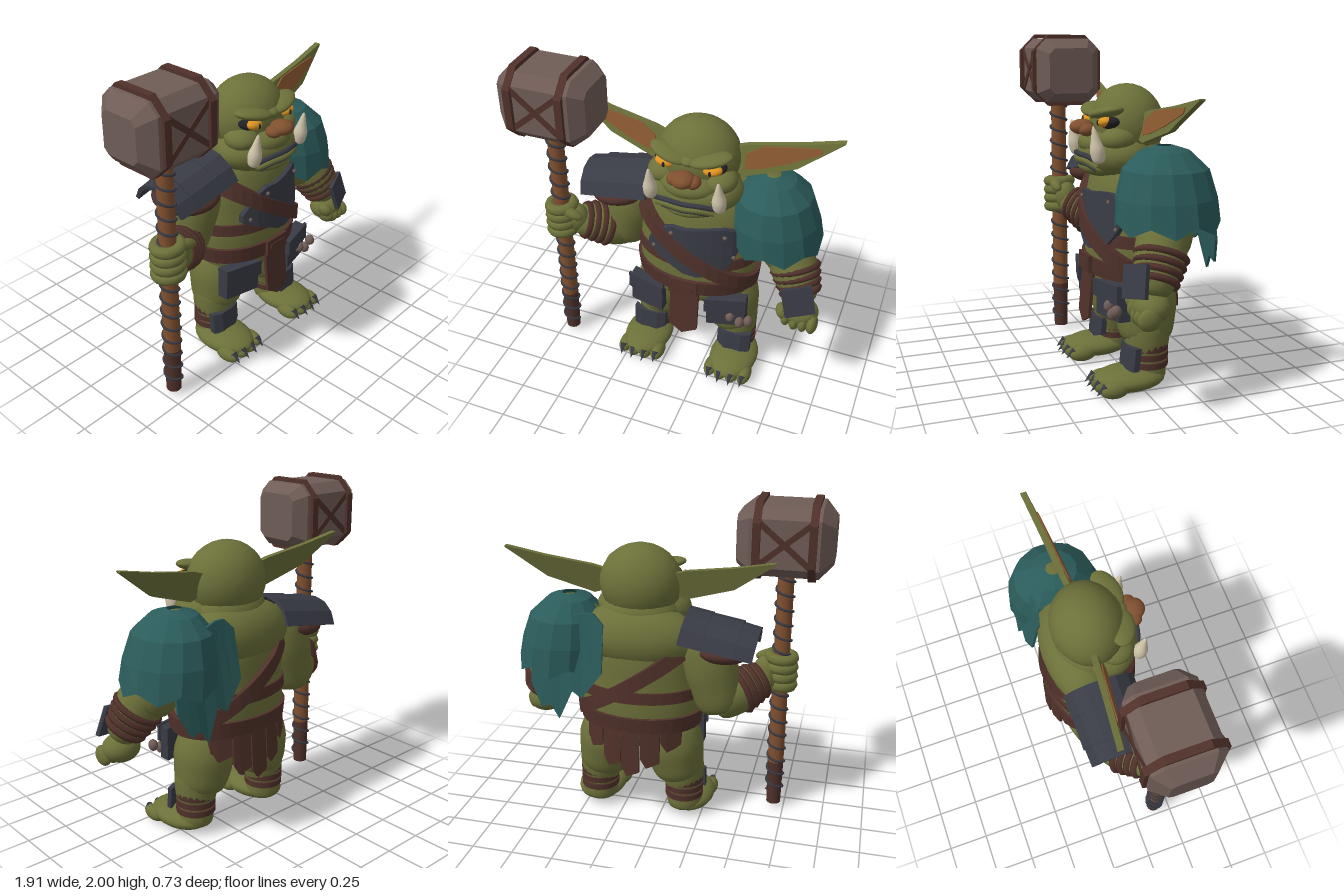
import * as THREE from 'three';

const mat = (name, color, side = THREE.FrontSide) => {
  const m = new THREE.MeshStandardMaterial({ color, side });
  m.name = name;
  return m;
};
const V = (x, y, z) => new THREE.Vector3(x, y, z);
const C = 0.14; // body midline in x

// Torso silhouette: [height, radius]; depth is squashed
const PROFILE = [[0.46, 0.05], [0.5, 0.22], [0.57, 0.33], [0.66, 0.36], [0.8, 0.37], [0.95, 0.36],
  [1.1, 0.35], [1.22, 0.31], [1.33, 0.22], [1.42, 0.1]];
const DEPTH = 0.68, MIDZ = -0.04;
function torsoR(y) {
  for (let i = 1; i < PROFILE.length; i++) {
    const [y0, r0] = PROFILE[i - 1], [y1, r1] = PROFILE[i];
    if (y <= y1) return THREE.MathUtils.lerp(r0, r1, Math.max(0, (y - y0) / (y1 - y0)));
  }
  return 0.1;
}
const torsoZ = (x, y) => MIDZ + DEPTH * Math.sqrt(Math.max(0, torsoR(y) ** 2 - (x - C) ** 2));

// Flat-shaded skin over a row of equal rings, capped unless the row closes on itself
function loft(rings, closed) {
  const n = rings[0].length, idx = [], count = rings.length;
  for (let i = 0; i < (closed ? count : count - 1); i++)
    for (let j = 0; j < n; j++) {
      const k = ((i + 1) % count) * n, a = i * n + j, b = k + j, c = k + (j + 1) % n, d = i * n + (j + 1) % n;
      idx.push(a, b, d, c, d, b);
    }
  if (!closed)
    for (let j = 1; j < n - 1; j++) {
      const e = (count - 1) * n;
      idx.push(0, j, j + 1, e, e + j + 1, e + j);
    }
  let g = new THREE.BufferGeometry().setFromPoints(rings.flat());
  g.setIndex(idx);
  g = g.toNonIndexed();
  g.computeVertexNormals();
  return g;
}

export function createModel() {
  const root = new THREE.Group();
  root.name = 'ogreWithHammer';
  const skin = mat('skin', 0x6c7039), iron = mat('iron', 0x393b45), leather = mat('leather', 0x50312a, THREE.DoubleSide),
    teal = mat('tealCloth', 0x2b5c5b, THREE.DoubleSide), stone = mat('stone', 0x6f5c56), wood = mat('wood', 0x80502f),
    earInside = mat('earInside', 0x8a5831), ivory = mat('ivory', 0xcfc4aa), amber = mat('amber', 0xdc9420), black = mat('black', 0x222226);

  const add = (name, geo, m, p = [0, 0, 0], r = [0, 0, 0], parent = root) => {
    const o = new THREE.Mesh(geo, m);
    o.name = name;
    o.position.set(...p);
    o.rotation.set(...r);
    parent.add(o);
    return o;
  };
  const ball = (name, m, p, s, r) => add(name, new THREE.SphereGeometry(1, 24, 16), m, p, r).scale.set(...s);
  const box = (name, m, p, s, r) => add(name, new THREE.BoxGeometry(...s), m, p, r);
  const tube = (name, m, pts, r, seg = 24) =>
    add(name, new THREE.TubeGeometry(new THREE.CatmullRomCurve3(pts.map((p) => V(...p))), seg, r, 6), m);
  const aim = (o, a, b) => o.quaternion.setFromUnitVectors(V(0, 1, 0), V(...b).sub(V(...a)).normalize());
  // Rounded limb from a to b with radii spaced along it
  const limb = (name, m, a, b, radii) => {
    const L = V(...a).distanceTo(V(...b)), n = radii.length;
    const prof = [[0, 0], ...radii.map((r, i) => [r, L * (0.07 + 0.86 * i / (n - 1))]), [0, L]];
    const pts = new THREE.SplineCurve(prof.map((p) => new THREE.Vector2(...p))).getPoints(24);
    pts.forEach((p) => { p.x = Math.max(0, p.x); });
    aim(add(name, new THREE.LatheGeometry(pts, 20), m, a), a, b);
  };
  // Wrapped ring around the line a-b at fraction t
  const wrap = (name, m, a, b, t, r, w) => {
    const g = new THREE.TorusGeometry(r, w, 6, 20).rotateX(Math.PI / 2);
    aim(add(name, g, m, V(...a).lerp(V(...b), t).toArray()), a, b);
  };
  // Bent plate from columns [x, low, high]; zf gives its front face
  const panel = (name, m, cols, zf, t = 0.02) => {
    const rings = [...cols].sort((p, q) => p[0] - q[0]).map(([x, lo, hi]) =>
      [V(x, lo, zf(x, lo)), V(x, hi, zf(x, hi)), V(x, hi, zf(x, hi) - t), V(x, lo, zf(x, lo) - t)]);
    return add(name, loft(rings, false), m);
  };
  // Strap around the torso whose height and lift follow the angle
  const strap = (name, yf, h, lift) => {
    const rings = [];
    for (let i = 0; i < 36; i++) {
      const a = i / 36 * Math.PI * 2, y = yf(a), off = lift(a);
      const at = (yy, o) => {
        const r = torsoR(yy);
        return V(C + (r + o) * Math.sin(a), yy, MIDZ + (r * DEPTH + o) * Math.cos(a));
      };
      rings.push([at(y - h / 2, off), at(y + h / 2, off), at(y + h / 2, -0.02), at(y - h / 2, -0.02)]);
    }
    add(name, loft(rings, true), leather);
  };

  // Torso
  const body = new THREE.SplineCurve(PROFILE.map(([y, r]) => new THREE.Vector2(r, y))).getPoints(36);
  add('torso', new THREE.LatheGeometry(body, 32), skin, [C, 0, MIDZ]).scale.z = DEPTH;
  ball('upperBack', skin, [C, 1.2, -0.11], [0.37, 0.2, 0.19]);
  ball('neck', skin, [C, 1.32, -0.05], [0.24, 0.16, 0.18]);

  // Straps, belt and chest plate
  strap('waistStrap', () => 0.87, 0.07, () => 0.014);
  strap('sash', (a) => 0.95 - 0.25 * Math.sin(a), 0.1, (a) => 0.032 + 0.018 * Math.max(0, Math.cos(a)));
  strap('belt', () => 0.69, 0.1, () => 0.022);
  box('buckle', leather, [C, 0.7, 0.235], [0.18, 0.1, 0.02]);
  box('buckleBar', leather, [C, 0.7, 0.246], [0.13, 0.04, 0.008]);
  panel('chestPlate', iron, [[-0.1, 0.92, 0.97], [-0.01, 0.88, 1.09], [0.06, 0.85, 1.12], [0.14, 0.81, 1.12],
    [0.22, 0.8, 1.13], [0.3, 0.81, 1.14], [0.36, 0.83, 1.14], [0.41, 0.9, 1.12], [0.46, 1.02, 1.05]],
  (x, y) => torsoZ(x, y) + 0.033, 0.045);
  for (const [x, y] of [[-0.06, 0.94], [0.06, 1.08], [0.37, 1.09], [0.42, 0.94]])
    ball('rivet', stone, [x, y, torsoZ(x, y) + 0.034], [0.013, 0.013, 0.01]);

  // Loincloth in front, ragged strips behind
  panel('frontLoincloth', leather, [[0.055, 0.39, 0.66], [0.14, 0.335, 0.66], [0.235, 0.385, 0.66]],
    (x, y) => 0.225 + (0.66 - y) * 0.1);
  for (let i = -2; i <= 2; i++) {
    const x = C + i * 0.118, lo = [0.52, 0.42, 0.36, 0.41, 0.5][i + 2];
    panel('backSkirtStrip', leather, [[x - 0.055, lo + 0.03, 0.66], [x + 0.02, lo, 0.66], [x + 0.055, lo + 0.06, 0.66]],
      (px, y) => MIDZ - DEPTH * Math.sqrt(0.36 ** 2 - (px - C) ** 2) - (0.66 - y) * 0.07, 0.018);
  }

  // Legs, shin guards, feet and belt pouches
  for (const s of [-1, 1]) {
    const X = (d) => C + s * d;
    limb('thigh', skin, [X(0.18), 0.68, -0.065], [X(0.25), 0.25, -0.05], [0.13, 0.18, 0.173, 0.135]);
    limb('shin', skin, [X(0.26), 0.42, -0.05], [X(0.285), 0.03, -0.04], [0.12, 0.13, 0.11, 0.105]);
    for (const y of [0.15, 0.2, 0.25])
      add('shinWrap', new THREE.CylinderGeometry(0.119, 0.119, 0.036, 20), leather, [X(0.278), y, -0.05]);
    panel('shinGuard', iron, [[X(0.18), 0.16, 0.265], [X(0.23), 0.14, 0.27], [X(0.34), 0.13, 0.27], [X(0.395), 0.135, 0.27]],
      (x, y) => 0.11 - 3 * (Math.abs(x - C) - 0.285) ** 2 - 0.1 * (y - 0.2), 0.035);
    ball('foot', skin, [X(0.296), 0.072, 0.07], [0.152, 0.072, 0.215]);
    for (let i = 0; i < 4; i++) {
      const d = 0.186 + i * 0.073, z = 0.215 - 0.012 * Math.abs(i - 1.5);
      ball('toe', skin, [X(d), 0.05, z], [0.044, 0.047, 0.085]);
      add('claw', new THREE.ConeGeometry(0.022, 0.075, 8), iron, [X(d), 0.055, z + 0.08], [Math.PI / 2 + 0.7, 0, 0]);
    }
    const front = (x) => 0.25 - 0.24 * Math.abs(x - C);
    panel('pouch', iron, [[X(0.145), 0.43, 0.63], [X(0.37), 0.43, 0.635]], front, 0.07);
    panel('pouchFlap', iron, [[X(0.135), 0.54, 0.635], [X(0.25), 0.525, 0.64], [X(0.38), 0.54, 0.645]], (x) => front(x) + 0.018, 0.02);
  }
  for (const [x, y] of [[0.43, 0.51], [0.49, 0.48], [0.545, 0.51]])
    ball('trinket', stone, [x, y, 0.19], [0.028, 0.036, 0.032]);

  // Head
  ball('skull', skin, [C, 1.5, -0.02], [0.245, 0.232, 0.213]);
  ball('jaw', skin, [C, 1.335, 0.05], [0.288, 0.145, 0.21]);
  ball('muzzle', skin, [C, 1.4, 0.12], [0.18, 0.085, 0.145]);
  ball('chin', skin, [C, 1.265, 0.12], [0.18, 0.06, 0.145]);
  const mouth = (name, m, y, z, w, r) => tube(name, m, [[C - w, y - 0.03, z - 0.055], [C - w * 0.55, y - 0.002, z - 0.014],
    [C, y, z], [C + w * 0.55, y - 0.002, z - 0.014], [C + w, y - 0.03, z - 0.055]], r);
  mouth('mouth', iron, 1.337, 0.266, 0.18, 0.016);
  mouth('lowerLip', skin, 1.307, 0.268, 0.17, 0.018);
  mouth('lipCrease', iron, 1.283, 0.264, 0.14, 0.008);
  ball('nose', wood, [C, 1.492, 0.25], [0.068, 0.044, 0.07]);
  ball('browRidge', skin, [C, 1.56, 0.13], [0.06, 0.035, 0.08]);
  for (const s of [-1, 1]) {
    const X = (d) => C + s * d;
    ball('nostrilWing', wood, [X(0.055), 1.478, 0.235], [0.044, 0.036, 0.05]);
    ball('cheek', skin, [X(0.165), 1.43, 0.09], [0.1, 0.07, 0.105]);
    ball('eyeSocket', black, [X(0.14), 1.523, 0.125], [0.071, 0.036, 0.063], [0, 0, s * 0.15]);
    ball('eye', amber, [X(0.14), 1.527, 0.155], [0.058, 0.031, 0.047], [0, 0, s * 0.15]);
    ball('pupil', black, [X(0.135), 1.526, 0.197], [0.009, 0.016, 0.01]);
    ball('brow', skin, [X(0.12), 1.58, 0.14], [0.125, 0.033, 0.075], [0, s * 0.3, s * 0.2]);
    limb('tusk', ivory, [X(0.205), 1.305, 0.215], [X(0.203), 1.515, 0.25], [0.032, 0.041, 0.026, 0.01]);
    const earZ = (x, y) => -0.02 - 0.055 * (Math.abs(x - C) - 0.2) - 0.25 * (y - 1.5);
    panel('ear', skin, [[X(0.18), 1.45, 1.57], [X(0.28), 1.42, 1.6], [X(0.56), 1.51, 1.645], [X(0.795), 1.685, 1.695]], earZ, 0.035);
    panel('innerEar', earInside, [[X(0.27), 1.46, 1.55], [X(0.36), 1.48, 1.605], [X(0.5), 1.53, 1.625], [X(0.68), 1.615, 1.645]],
      (x, y) => earZ(x, y) + 0.008, 0.009);
  }

  // Right shoulder armour: three overlapping arched plates over a leather pad
  ball('shoulderPad', leather, [-0.355, 1.15, -0.04], [0.19, 0.078, 0.21], [0, 0, 0.08]);
  const pauldron = new THREE.Group();
  pauldron.name = 'pauldron';
  pauldron.position.set(-0.325, 1.12, -0.05);
  pauldron.rotation.z = 0.17;
  root.add(pauldron);
  [[-0.225, -0.1, 0.2, 0.207], [-0.12, 0.09, 0.215, 0.215], [0.07, 0.21, 0.22, 0.222]].forEach(([x0, x1, r0, r1]) => {
    const rings = [];
    for (let i = 0; i <= 6; i++) {
      const a = THREE.MathUtils.degToRad(-73 + 146 * i / 6);
      const at = (x, r) => V(x, r * Math.cos(a), r * Math.sin(a));
      rings.push([at(x0, r0), at(x1, r1), at(x1, r1 - 0.025), at(x0, r0 - 0.025)]);
    }
    add('pauldronPlate', loft(rings, false), iron, [0, 0, 0], [0, 0, 0], pauldron);
  });

  // Right arm and fist around the shaft
  const elbowR = [-0.35, 0.81, -0.08], wristR = [-0.63, 0.93, 0.13];
  limb('rightUpperArm', skin, [-0.22, 1.27, -0.06], [-0.37, 0.74, -0.07], [0.13, 0.165, 0.155, 0.12]);
  limb('rightForearm', skin, [-0.31, 0.8, -0.1], wristR, [0.11, 0.135, 0.12, 0.08]);
  [0.4, 0.52, 0.64, 0.76].forEach((t, i) => wrap('rightBracer', leather, elbowR, wristR, t, 0.13 - i * 0.01, 0.022));
  ball('rightPalm', skin, [-0.61, 0.95, 0.13], [0.09, 0.1, 0.07]);
  for (let i = 0; i < 4; i++)
    add('rightFinger', new THREE.TorusGeometry(0.072, 0.034, 8, 20).rotateX(Math.PI / 2), skin, [-0.685, 0.87 + i * 0.057, 0.15], [0, 0, 0.08]);
  ball('rightThumb', skin, [-0.6, 1.03, 0.2], [0.08, 0.032, 0.035], [0, 0, -0.3]);

  // Left arm, bracer and fist
  const elbowL = [0.725, 0.95, -0.02], wristL = [0.85, 0.67, 0.1];
  ball('leftShoulder', skin, [0.55, 1.24, -0.08], [0.2, 0.17, 0.18]);
  limb('leftUpperArm', skin, [0.52, 1.3, -0.08], [0.75, 0.84, -0.01], [0.13, 0.17, 0.165, 0.12]);
  limb('leftForearm', skin, [0.68, 1.03, -0.04], wristL, [0.12, 0.14, 0.125, 0.08]);
  [0.3, 0.44, 0.58, 0.72].forEach((t, i) => wrap('leftBracer', leather, elbowL, wristL, t, 0.134 - i * 0.008, 0.02));
  box('leftForearmPlate', iron, [0.832, 0.765, 0.188], [0.18, 0.18, 0.025], [-0.25, 0.3, 0.28]);
  ball('leftPalm', skin, [0.83, 0.62, 0.1], [0.115, 0.085, 0.1]);
  for (let i = 0; i < 4; i++)
    ball('leftFinger', skin, [0.765 + i * 0.052, 0.58 + (i === 0 ? 0.02 : 0), 0.145], [0.034, 0.06, 0.065]);
  ball('leftThumb', skin, [0.74, 0.64, 0.16], [0.035, 0.05, 0.05], [0, 0, 0.5]);

  // Shoulder cape with a ragged hem and a drape down the back
  const capeProfile = [[0.29, 1.0], [0.28, 1.15], [0.24, 1.3], [0.14, 1.395], [0.045, 1.425]].map((p) => new THREE.Vector2(...p));
  let cape = new THREE.LatheGeometry(capeProfile, 14);
  const cp = cape.attributes.position;
  for (let i = 0; i < cp.count; i++) {
    const y = cp.getY(i), col = Math.floor(i / 5);
    if (i % 5 === 0) cp.setY(i, y + (col % 2 ? -0.03 : 0.025));
    cp.setX(i, cp.getX(i) * 0.94 + (1.42 - y) * 0.11);
  }
  cape = cape.toNonIndexed();
  cape.computeVertexNormals();
  add('cape', cape, teal, [0.565, 0, -0.08]);
  panel('capeDrape', teal, [[0.3, 1.02, 1.3], [0.36, 0.94, 1.36], [0.42, 0.86, 1.36], [0.48, 0.9, 1.34], [0.56, 0.72, 1.3],
    [0.61, 0.8, 1.25], [0.67, 0.78, 1.2], [0.74, 0.92, 1.15]],
  (x, y) => -0.305 - (1.1 - y) * (y < 1.1 ? 0.1 : 0.25) + 1.2 * Math.max(0, x - 0.62) ** 2, 0.015);

  // Hammer shaft with spiral wire
  const hx = -0.685, hy = 1.78, hz = 0.14;
  add('shaft', new THREE.CylinderGeometry(0.048, 0.05, 1.3, 14), wood, [hx, 0.98, 0.15]);
  add('shaftFoot', new THREE.CylinderGeometry(0.05, 0.045, 0.3, 14), leather, [hx, 0.18, 0.15]);
  const coil = [];
  for (let i = 0; i <= 128; i++)
    coil.push([hx + 0.053 * Math.cos(i * Math.PI / 4), 0.1 + 1.46 * i / 128, 0.15 + 0.053 * Math.sin(i * Math.PI / 4)]);
  tube('shaftWire', iron, coil, 0.008, 300);

  // Hammer head: chamfered block with straps; k sets how much of each side stays flat
  const oct = (x, h, k) => [[1, -k], [1, k], [k, 1], [-k, 1], [-1, k], [-1, -k], [-k, -1], [k, -1]]
    .map(([z, y]) => V(x, hy + y * h, hz + z * h));
  add('hammerHead', loft([oct(-0.955, 0.12, 0.75), oct(-0.88, 0.198, 0.7), oct(-0.485, 0.198, 0.7), oct(-0.41, 0.14, 0.75)], false), stone);
  for (const x of [-0.84, -0.53]) {
    const [a, b, c, d] = [[0.022, 0.222], [-0.022, 0.222], [-0.022, 0.2], [0.022, 0.2]].map(([o, h]) => oct(x + o, h, 0.54));
    add('headStrap', loft(a.map((_, i) => [a[i], b[i], c[i], d[i]]).reverse(), true), leather);
  }
  for (const z of [-1, 1])
    for (const s of [-1, 1])
      box('crossStrap', leather, [hx, hy, hz + z * 0.2], [0.4, 0.032, 0.014], [0, 0, s * 0.7]);
  return root;
}
